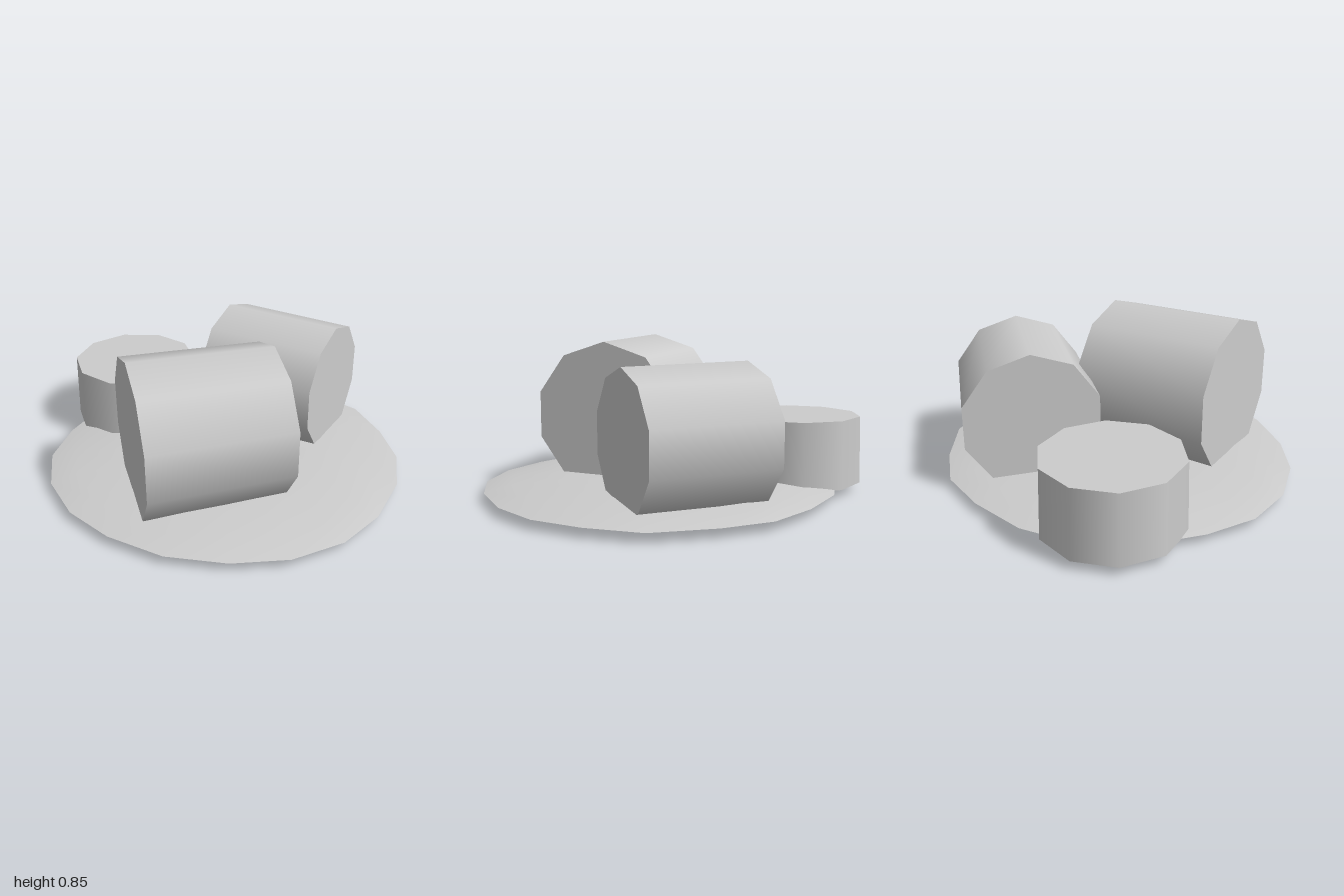
import * as THREE from 'three';

const grey = new THREE.MeshStandardMaterial({ color: 0xcccccc });
grey.name = 'plain grey';

// Ten-sided, slightly tapered log running from point a to point b
function log(name, a, b, radiusA, radiusB) {
  const start = new THREE.Vector3(...a), end = new THREE.Vector3(...b);
  const axis = end.clone().sub(start);
  const geometry = new THREE.CylinderGeometry(radiusB, radiusA, axis.length(), 10);
  axis.normalize();
  // a corner of the ten-sided section points up, or along x for an upright log
  const corner = Math.abs(axis.y) > 0.9 ? new THREE.Vector3(1, 0, 0) : new THREE.Vector3(0, 1, 0);
  const side = new THREE.Vector3().crossVectors(axis, corner);
  geometry.applyMatrix4(new THREE.Matrix4().makeBasis(side, axis, corner));
  const mesh = new THREE.Mesh(geometry, grey);
  mesh.position.copy(start).add(end).multiplyScalar(0.5);
  mesh.name = name;
  return mesh;
}

// Rim of the mound as [x, z], going round from the front
const rim = [
  [0.03, 0.94], [0.33, 0.91], [0.6, 0.78], [0.8, 0.57], [0.95, 0.28],
  [1, 0], [0.95, -0.28], [0.84, -0.56], [0.58, -0.78], [0.33, -0.92],
  [0.03, -0.95], [-0.3, -0.915], [-0.58, -0.79], [-0.8, -0.56], [-0.935, -0.28],
  [-1, 0], [-0.95, 0.285], [-0.8, 0.545], [-0.58, 0.74], [-0.29, 0.89],
];
const floorY = 0.05;

// Low uneven dome made of shrinking rings
function moundTop() {
  const rings = [[1, 0.053], [0.85, 0.084], [0.55, 0.105], [0.28, 0.108]];
  const n = rim.length, positions = [], index = [];
  rings.forEach(([scale, y], r) => rim.forEach(([x, z], i) => {
    const bump = r ? 0.006 * Math.sin(i * 1.9 + r * 2.3) : 0;
    positions.push(x * scale, y + bump, z * scale);
  }));
  positions.push(0, 0.108, 0);
  const centre = rings.length * n;
  for (let r = 0; r < rings.length; r++) {
    for (let i = 0; i < n; i++) {
      const j = (i + 1) % n, a = r * n + i, b = r * n + j;
      if (r === rings.length - 1) index.push(a, b, centre);
      else index.push(a, b, b + n, a, b + n, a + n);
    }
  }
  const geometry = new THREE.BufferGeometry();
  geometry.setAttribute('position', new THREE.Float32BufferAttribute(positions, 3));
  geometry.setIndex(index);
  geometry.computeVertexNormals();
  return geometry;
}

// Flat underside, facing down
function moundBottom() {
  const shape = new THREE.Shape(rim.map(([x, z]) => new THREE.Vector2(x, z)));
  const geometry = new THREE.ShapeGeometry(shape);
  geometry.rotateX(Math.PI / 2);
  geometry.translate(0, floorY, 0);
  return geometry;
}

export function createModel() {
  const model = new THREE.Group();
  model.name = 'logsOnMound';

  const mound = new THREE.Group();
  mound.name = 'mound';
  const top = new THREE.Mesh(moundTop(), grey);
  top.name = 'moundTop';
  const bottom = new THREE.Mesh(moundBottom(), grey);
  bottom.name = 'moundUnderside';
  mound.add(top, bottom);

  model.add(
    mound,
    log('frontLog', [-0.48, 0.43, 0.418], [0.26, 0.43, 0.194], 0.427, 0.414),
    log('backLog', [0.03, 0.388, -0.576], [0.633, 0.388, -0.245], 0.375, 0.365),
    log('uprightLog', [-0.553, floorY, -0.54], [-0.553, 0.425, -0.54], 0.373, 0.364),
  );
  return model;
}
